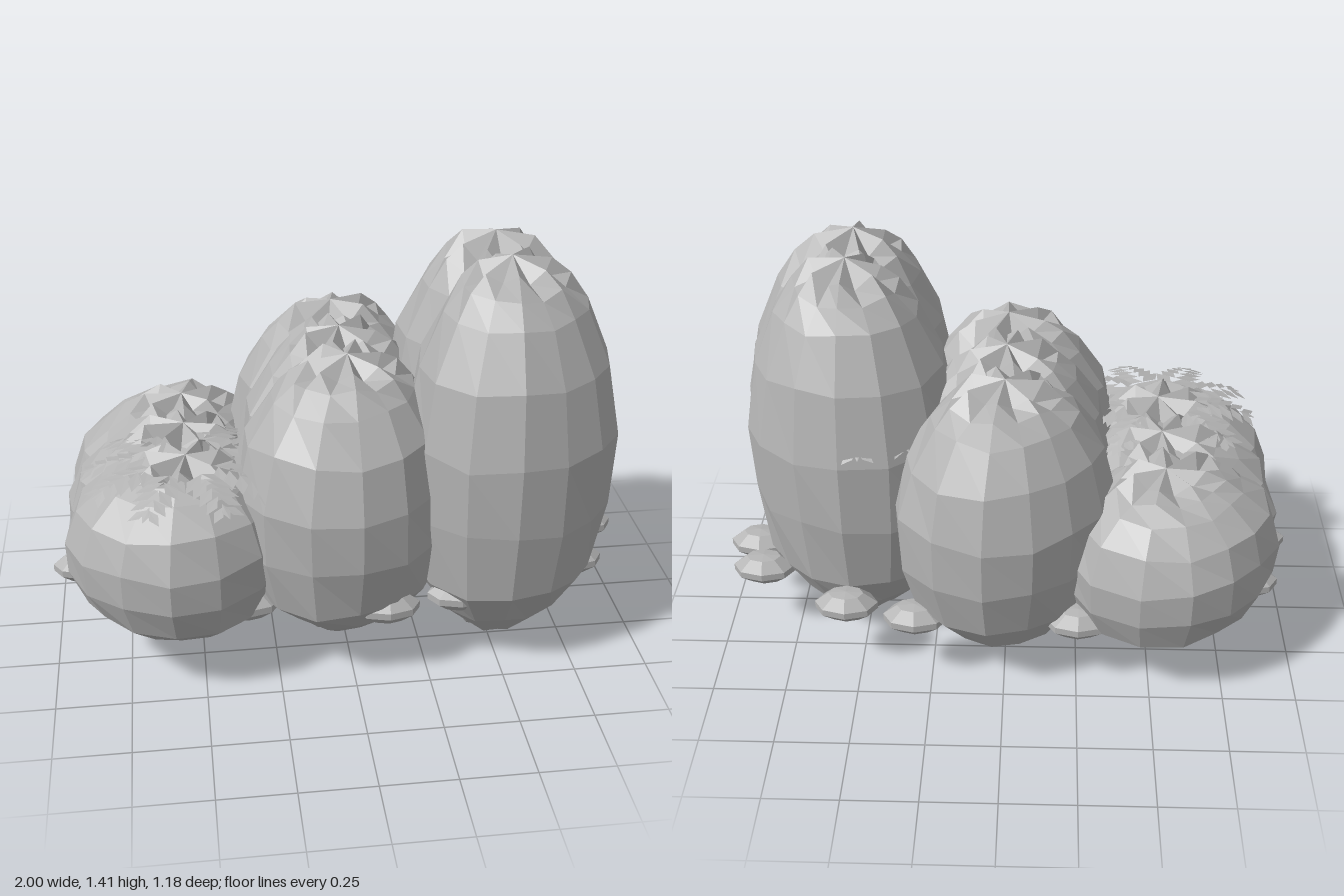
import * as THREE from 'three';

// [radius, height fraction, pleat depth] from top to bottom of a boulder
const PROFILE = [[0, 1, 0], [0.3, 0.965, 1], [0.48, 0.935, 0.3], [0.65, 0.88, 0], [0.88, 0.755, 0],
  [1, 0.58, 0], [0.985, 0.4, 0], [0.86, 0.22, 0], [0.6, 0.115, 0.5], [0.31, 0.045, 1], [0, 0, 0]];
const SIDES = 14;

function makeRandom(seed) {
  let s = seed * 7919 + 17;
  return () => ((s = (s * 16807) % 2147483647) / 2147483647) - 0.5;
}

// Boulder: a faceted, pleated body, leaning off its poles (shift) and drawn out diagonally (skew)
function boulderGeometry(bottom, top, shift, skew, seed) {
  const random = makeRandom(seed);
  const rows = PROFILE.length - 1;
  const geo = new THREE.SphereGeometry(1, SIDES, rows);
  const pos = geo.attributes.position;
  const height = top - bottom;
  PROFILE.forEach(([r, h, pleat], i) => {
    const jitter = Array.from({ length: SIDES }, () => [random(), random()]);
    for (let j = 0; j <= SIDES; j++) {
      const k = j % SIDES;
      const a = (k / SIDES) * Math.PI * 2 + seed * 0.35;
      const side = k % 2 ? pleat : -pleat;
      const radius = r * (1 + jitter[k][0] * 0.05 + side * 0.12 + skew * Math.sin(2 * a));
      const y = bottom + height * h + side * 0.024 + (r > 0 ? jitter[k][1] * 0.025 : 0);
      pos.setXYZ(i * (SIDES + 1) + j,
        -Math.cos(a) * radius * 0.365 + shift * r, y, Math.sin(a) * radius * 0.35);
    }
  });
  const flat = geo.toNonIndexed();
  flat.computeVertexNormals();
  return flat;
}

// Fern frond: paired diamond leaflets along a drooping stem
function frondGeometry(start, end, y0, droop) {
  const points = [];
  const pairs = 5;
  const leaflet = (x, angle, length) => {
    const c = Math.cos(angle), s = Math.sin(angle), w = length * 0.24;
    const at = (u, v) => {
      const px = x + u * c - v * s, pz = u * s + v * c;
      return [px, y0 - droop * ((px - start) / (end - start)) ** 2 - Math.abs(pz) * 0.15, pz];
    };
    const a = at(0, 0), b = at(length * 0.5, w), d = at(length * 0.5, -w), tip = at(length, 0);
    points.push(...a, ...b, ...tip, ...a, ...tip, ...d);
  };
  for (let i = 0; i < pairs; i++) {
    const t = i / pairs;
    const x = start + (end - start) * t;
    const length = 0.105 * (1 - 0.45 * t);
    leaflet(x, 0.9, length);
    leaflet(x, -0.9, length);
  }
  leaflet(start + (end - start) * 0.75, 0, (end - start) * 0.28);
  const geo = new THREE.BufferGeometry();
  geo.setAttribute('position', new THREE.Float32BufferAttribute(points, 3));
  geo.computeVertexNormals();
  return geo;
}

export function createModel() {
  const model = new THREE.Group();
  model.name = 'boulderCluster';
  const stone = new THREE.MeshStandardMaterial({ color: 0xb4b4b4, flatShading: true });
  stone.name = 'stone grey';
  const leaf = new THREE.MeshStandardMaterial({ color: 0xb4b4b4, flatShading: true, side: THREE.DoubleSide });
  leaf.name = 'leaf grey';

  const add = (parent, name, geo, material, x, y, z) => {
    const mesh = new THREE.Mesh(geo, material);
    mesh.name = name;
    mesh.position.set(x, y, z);
    parent.add(mesh);
    return mesh;
  };

  // Boulders in three columns, rising towards the left side: rows are [z, shift, skew]
  const columns = [
    { name: 'lowBoulder', x: -0.53, bottom: 0.13, top: 0.78,
      rows: [[-0.24, -0.035, 0.1], [-0.01, -0.045, 0], [0.22, -0.045, 0]] },
    { name: 'middleBoulder', x: 0, bottom: 0.07, top: 1.11,
      rows: [[-0.24, 0, 0.08], [-0.01, 0, 0.05], [0.22, -0.02, 0.04]] },
    { name: 'tallBoulder', x: 0.52, bottom: 0.01, top: 1.42,
      rows: [[-0.015, 0.01, -0.05], [0.22, 0.03, 0.07]] },
  ];
  let seed = 1;
  for (const c of columns) {
    for (const [z, shift, skew] of c.rows) {
      add(model, c.name, boulderGeometry(c.bottom, c.top, shift, skew, seed++), stone, c.x, 0, z);
    }
  }

  // Flat pebbles around the foot: [x, z]
  const pebbles = [[-0.895, 0.06], [-0.84, -0.19], [-0.25, -0.43], [0.3, -0.42], [0.54, -0.36],
    [0.855, -0.16], [0.89, -0.01], [0.79, 0.22], [0.36, 0.39], [0.11, 0.435], [-0.35, 0.36]];
  const pebbleProfile = [[0, -0.05], [0.06, -0.045], [0.108, -0.012], [0.108, 0.012], [0.06, 0.05], [0, 0.056]]
    .map(([r, y]) => new THREE.Vector2(r, y));
  const pebbleGeo = new THREE.LatheGeometry(pebbleProfile, 8);
  for (const [x, z] of pebbles) {
    add(model, 'pebble', pebbleGeo, stone, x, 0.28, z).scale.z = 0.64;
  }

  // Fern rosette lying over the low boulders
  const fern = new THREE.Group();
  fern.name = 'fern';
  fern.position.set(-0.53, 0, 0.22);
  model.add(fern);
  const frondGeo = frondGeometry(0.13, 0.34, 0.77, 0.05);
  for (const angle of [-2, -1.2, -0.65, 0.4, 1.05, 2.4, 3.05, 3.6]) {
    add(fern, 'fernFrond', frondGeo, leaf, 0, 0, 0).rotation.y = angle;
  }

  // Fern tips poking out behind the tall boulder
  const tips = frondGeometry(0.2, 0.38, 0.93, 0.06);
  for (const angle of [1.7, 2.15]) {
    add(model, 'fernTip', tips, leaf, 0.52, 0, 0.02).rotation.y = angle;
  }
  return model;
}
